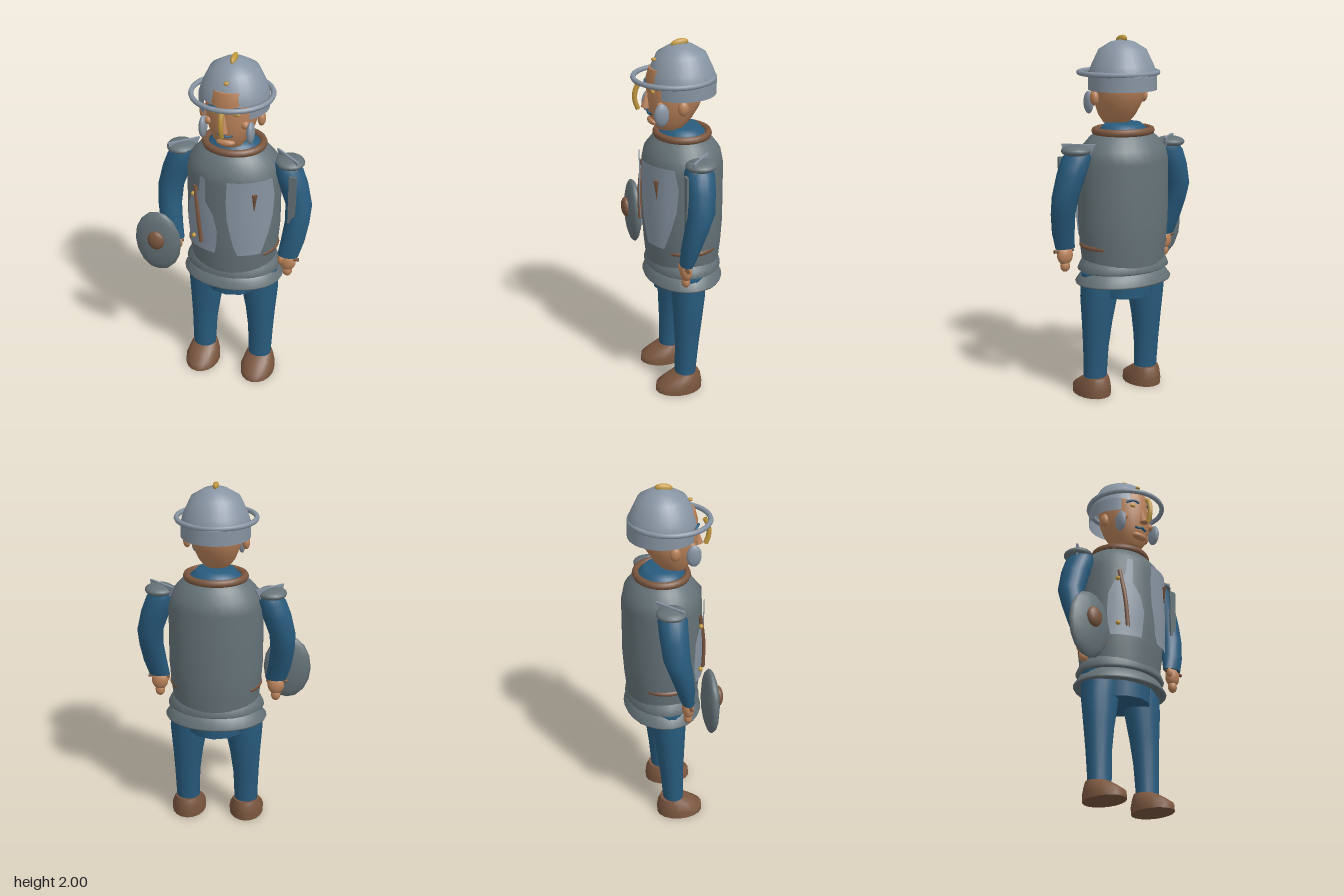
import * as THREE from 'three';

const CX = 0.04, CZ = -0.03; // body axis

export function createModel() {
  const model = new THREE.Group();
  const mat = (name, color) => {
    const m = new THREE.MeshStandardMaterial({ color, side: THREE.DoubleSide });
    m.name = name;
    return m;
  };
  const iron = mat('dark iron', 0x657277), steel = mat('pale steel', 0x8794a2), blue = mat('blue cloth', 0x285b7d);
  const leather = mat('brown leather', 0x7a563f), skin = mat('skin', 0xb9825a), gold = mat('gold', 0xc1983f);

  const add = (name, geo, material, x = 0, y = 0, z = 0) => {
    const m = new THREE.Mesh(geo, material);
    m.name = name;
    m.position.set(x, y, z);
    model.add(m);
    return m;
  };
  const ball = (name, material, x, y, z, rx, ry, rz, seg = 16) =>
    add(name, new THREE.SphereGeometry(1, seg, Math.max(8, seg * 0.6 | 0)).scale(rx, ry, rz), material, x, y, z);
  const lathe = (name, material, pts, zScale, z = CZ, start = 0, length = Math.PI * 2) =>
    add(name, new THREE.LatheGeometry(pts.map(p => new THREE.Vector2(...p)), 28, start, length).scale(1, 1, zScale), material, CX, 0, z);
  const hoop = (name, material, y, z, r, tube, zScale = 1) =>
    add(name, new THREE.TorusGeometry(r, tube, 8, 32).rotateX(Math.PI / 2).scale(1, 1, zScale), material, CX, y, z);
  const tube = (name, material, pts, r) =>
    add(name, new THREE.TubeGeometry(new THREE.CatmullRomCurve3(pts.map(p => new THREE.Vector3(...p))), 10, r, 6), material);

  // Closed solid through horizontal ellipses [y, centreX, centreZ, radiusX, radiusZ]
  const loft = (name, material, stations, seg = 18) => {
    const end = s => [s[0], s[1], s[2], 0, 0];
    const first = stations[0], last = stations[stations.length - 1];
    const strips = [[end(first), first], stations, [last, end(last)]];
    const pos = [], idx = [];
    for (const rows of strips) {
      const base = pos.length / 3;
      for (const [y, x, z, rx, rz] of rows)
        for (let j = 0; j < seg; j++) {
          const a = j / seg * Math.PI * 2;
          pos.push(x + Math.sin(a) * rx, y, z + Math.cos(a) * rz);
        }
      for (let i = 0; i < rows.length - 1; i++)
        for (let j = 0; j < seg; j++) {
          const a = base + i * seg + j, b = base + i * seg + (j + 1) % seg;
          idx.push(a, b, b + seg, a, b + seg, a + seg);
        }
    }
    const g = new THREE.BufferGeometry();
    g.setAttribute('position', new THREE.Float32BufferAttribute(pos, 3));
    g.setIndex(idx);
    g.computeVertexNormals();
    return add(name, g, material);
  };

  // Torso, belt and neck
  lathe('torso', iron, [[0.235, 0.75], [0.25, 0.87], [0.26, 1], [0.26, 1.33], [0.243, 1.4], [0.195, 1.455], [0.15, 1.49]], 0.84);
  hoop('belt', leather, 0.87, CZ, 0.242, 0.016, 0.78);
  hoop('neckRing', leather, 1.49, CZ, 0.157, 0.021, 0.89);
  lathe('collar', blue, [[0.15, 1.485], [0.12, 1.51], [0.1, 1.532], [0, 1.532]], 0.9);

  // Flared skirt bands and hips
  lathe('upperSkirt', iron, [[0.235, 0.8], [0.255, 0.77], [0.27, 0.735], [0.255, 0.725], [0.22, 0.73]], 0.77);
  lathe('lowerSkirt', iron, [[0.225, 0.73], [0.25, 0.715], [0.262, 0.695], [0.285, 0.665], [0.28, 0.655], [0.22, 0.66]], 0.76);
  add('hips', new THREE.CylinderGeometry(0.172, 0.163, 0.16, 12), blue, CX, 0.66, CZ);

  // Breastplates wrapped over the torso, rows are [y, left, right]
  const breastplate = (name, rows) => {
    const n = 8;
    const g = new THREE.PlaneGeometry(1, 1, n, rows.length - 1);
    const p = g.attributes.position;
    for (let i = 0; i < p.count; i++) {
      const [y, l, r] = rows[Math.floor(i / (n + 1))];
      const x = l + (r - l) * (i % (n + 1)) / n;
      const d = (x - CX) / 0.272;
      const k = y < 1 ? 0.97 : 1;
      p.setXYZ(i, x, y, CZ + 0.232 * k * Math.sqrt(Math.max(0, 1 - d * d)));
    }
    g.computeVertexNormals();
    add(name, g, steel);
  };
  breastplate('leftBreastplate', [[1.365, 0.065, 0.28], [1.25, 0.06, 0.29], [1.13, 0.065, 0.285], [1.03, 0.085, 0.27], [0.95, 0.1, 0.25], [0.9, 0.12, 0.235]]);
  breastplate('rightBreastplate', [[1.365, -0.09, -0.06], [1.27, -0.1, -0.058], [1.22, -0.15, -0.06], [1.15, -0.175, -0.015], [1.05, -0.18, 0.01], [0.97, -0.175, 0.005], [0.9, -0.165, -0.005]]);

  // Chest fittings
  tube('chestStrap', leather, [[-0.125, 1.29, 0.148], [-0.105, 1.12, 0.172], [-0.088, 0.95, 0.175]], 0.012);
  for (const y of [1.235, 0.965]) ball('stud', gold, -0.138, y, 0.15, 0.013, 0.013, 0.013, 10);
  const tab = add('chestTab', new THREE.ConeGeometry(0.017, 0.11, 4), leather, 0.205, 1.235, 0.158);
  tab.rotation.x = Math.PI;

  // Limbs, mirrored about the body axis
  for (const s of [-1, 1]) {
    const side = s > 0 ? 'left' : 'right';
    const X = d => CX + s * d;
    loft(side + 'Leg', blue, [[0.09, X(0.17), 0, 0.066, 0.058], [0.28, X(0.17), -0.01, 0.073, 0.066], [0.42, X(0.165), -0.016, 0.086, 0.078], [0.58, X(0.155), -0.022, 0.108, 0.092], [0.72, X(0.145), -0.025, 0.112, 0.096]]);
    loft(side + 'Boot', leather, [[0, X(0.17), 0.038, 0.098, 0.133], [0.04, X(0.17), 0.035, 0.098, 0.132], [0.08, X(0.17), 0.008, 0.084, 0.098], [0.108, X(0.17), -0.01, 0.072, 0.066]]);

    loft(side + 'Arm', blue, [[0.86, X(0.33), 0.042, 0.058, 0.035], [0.95, X(0.35), 0.026, 0.065, 0.05], [1.06, X(0.365), 0, 0.067, 0.063], [1.16, X(0.365), -0.026, 0.072, 0.073], [1.28, X(0.33), -0.034, 0.08, 0.078], [1.36, X(0.3), -0.035, 0.08, 0.08], [1.41, X(0.28), -0.035, 0.06, 0.06]]);
    ball(side + 'Hand', skin, X(0.33), 0.82, 0.045, 0.047, 0.055, 0.032);
    ball(side + 'Fingers', skin, X(0.33), 0.76, 0.045, 0.028, 0.034, 0.024, 12);
    ball(side + 'Thumb', skin, X(0.295), 0.835, 0.06, 0.018, 0.03, 0.018, 10);
    const grip = add(side + 'Wristband', new THREE.CylinderGeometry(0.01, 0.01, 0.12, 8), leather, X(0.335), 0.845, 0.05);
    grip.rotation.z = Math.PI / 2;

    // Shoulder cap and its slanted plate
    ball(side + 'ShoulderCap', iron, X(0.305), 1.405, -0.042, 0.08, 0.031, 0.083, 20);
    const plate = new THREE.Shape([[-0.085, 0.09], [0.1, 0.09], [0.085, 0.02], [0.07, -0.085], [-0.03, -0.02]].map(p => new THREE.Vector2(...p)));
    const pg = new THREE.ExtrudeGeometry(plate, { depth: 0.012, bevelEnabled: false }).translate(0, 0, -0.006);
    const pm = add(side + 'ShoulderPlate', pg, steel, X(0.285), 1.35, -0.05);
    if (s > 0) pm.rotation.y = -0.7;
    else pm.rotation.y = Math.PI + 0.7;
  }
  add('armStrip', new THREE.BoxGeometry(0.042, 0.29, 0.012), iron, 0.383, 1.22, 0.046);

  // Round shield with boss
  ball('shield', iron, -0.347, 0.888, 0.153, 0.134, 0.19, 0.042, 12);
  ball('shieldBoss', leather, -0.345, 0.917, 0.197, 0.049, 0.058, 0.025, 14);

  // Head
  loft('head', skin, [[1.525, CX, 0.04, 0.068, 0.07], [1.57, CX, 0.034, 0.1, 0.108], [1.64, CX, 0.02, 0.128, 0.138], [1.7, CX, 0.01, 0.138, 0.152], [1.8, CX, 0.005, 0.145, 0.16], [1.855, CX, 0.005, 0.12, 0.145]], 28);
  for (const s of [-1, 1]) {
    const X = d => CX + s * d;
    ball('ear', skin, X(0.158), 1.67, 0.01, 0.022, 0.04, 0.029);
    ball('cheekGuard', steel, X(0.128), 1.635, 0.118, 0.021, 0.062, 0.041);
    ball('cheek', skin, X(0.098), 1.675, 0.115, 0.022, 0.022, 0.022, 12);
    ball('eye', gold, X(0.06), 1.745, 0.148, 0.02, 0.011, 0.01, 12);
    tube('eyebrow', blue, [[X(0.028), 1.768, 0.165], [X(0.06), 1.778, 0.156], [X(0.095), 1.766, 0.13]], 0.007);
  }
  tube('mouth', blue, [[0, 1.62, 0.143], [0.02, 1.612, 0.153], [CX, 1.617, 0.158], [0.06, 1.612, 0.153], [0.08, 1.62, 0.143]], 0.007);
  ball('chin', skin, CX, 1.57, 0.135, 0.052, 0.021, 0.025);
  const nose = add('nose', new THREE.ConeGeometry(0.024, 0.11, 8), skin, CX, 1.7, 0.165);
  nose.rotation.x = -0.15;

  // Helmet with open-faced guard, brim, crest and nose bar
  lathe('helmetDome', steel, [[0.185, 1.785], [0.18, 1.81], [0.17, 1.84], [0.13, 1.925], [0.065, 1.965], [0, 1.98]], 1, -0.025);
  const open = 0.7;
  lathe('helmetGuard', steel, [[0.186, 1.71], [0.187, 1.79]], 1, -0.025, open, Math.PI * 2 - open * 2);
  hoop('helmetBrim', steel, 1.8, 0.017, 0.214, 0.014);
  ball('crest', gold, CX, 1.978, -0.015, 0.017, 0.022, 0.05, 10).rotation.x = 0.15;
  ball('helmetStud', gold, CX, 1.9, 0.124, 0.014, 0.01, 0.014, 10);
  tube('noseBar', gold, [[CX, 1.785, 0.205], [CX, 1.74, 0.225], [CX, 1.69, 0.228], [CX, 1.64, 0.212]], 0.014);
  return model;
}
